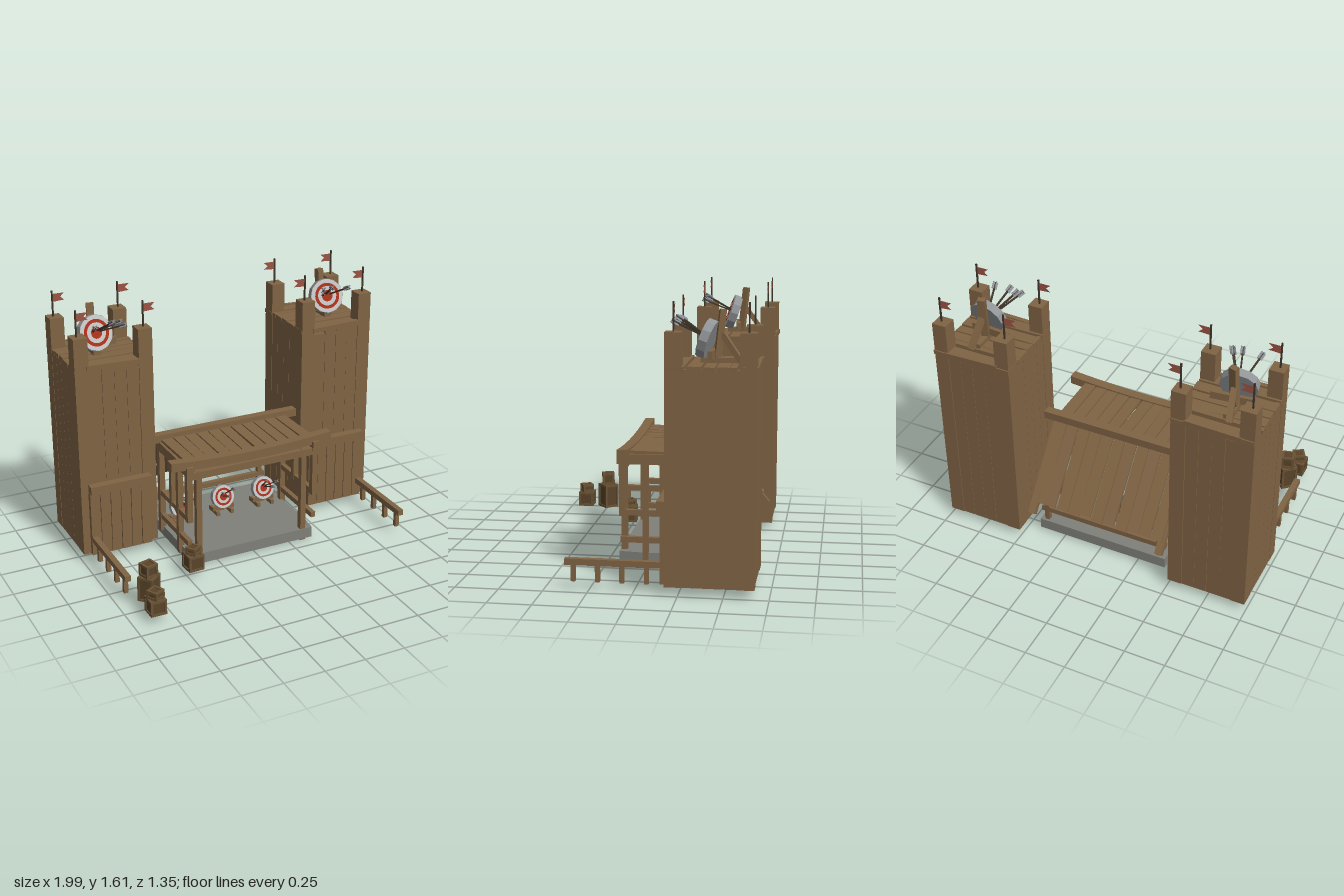
import * as THREE from 'three';

const mat = (name, color, extra = {}) => {
  const m = new THREE.MeshStandardMaterial({ color, flatShading: true, ...extra });
  m.name = name;
  return m;
};
const wood = mat('wood', 0x806444);
const crateWood = mat('crateWood', 0x6b5335);
const cratePanel = mat('cratePanel', 0x594429);
const stone = mat('stone', 0x80807b);
const white = mat('targetWhite', 0xc4c4c2);
const grey = mat('targetGrey', 0x929598);
const red = mat('targetRed', 0xa8301c);
const cloth = mat('flagCloth', 0x9c5444, { side: THREE.DoubleSide });
const dark = mat('arrowShaft', 0x40362a);
const feather = mat('feather', 0x8d9094, { side: THREE.DoubleSide });

let seed = 7;
const jitter = (a) => {
  seed = (seed * 16807) % 2147483647;
  return (seed / 2147483647 - 0.5) * 2 * a;
};

function add(parent, name, geo, material) {
  const m = new THREE.Mesh(geo, material);
  m.name = name;
  parent.add(m);
  return m;
}
function group(parent, name) {
  const g = new THREE.Group();
  g.name = name;
  parent.add(g);
  return g;
}
function box(parent, name, material, w, h, d, x, y, z, rx = 0, ry = 0, rz = 0) {
  const m = add(parent, name, new THREE.BoxGeometry(w, h, d), material);
  m.position.set(x, y, z);
  m.rotation.set(rx, ry, rz);
  return m;
}
// Square bar running from point a to point b
function beam(parent, name, material, a, b, w, h) {
  const p = new THREE.Vector3(...a), q = new THREE.Vector3(...b);
  const m = add(parent, name, new THREE.BoxGeometry(w, h, p.distanceTo(q)), material);
  m.position.copy(p).add(q).multiplyScalar(0.5);
  m.lookAt(q);
  return m;
}

// Arrow stuck at tip, with crossed feathers at the tail
function arrow(parent, tip, tail) {
  const g = group(parent, 'arrow');
  const p = new THREE.Vector3(...tip), q = new THREE.Vector3(...tail);
  const len = p.distanceTo(q);
  g.position.copy(p);
  g.lookAt(q);
  box(g, 'shaft', dark, 0.009, 0.009, len, 0, 0, len / 2);
  for (const r of [0.785, -0.785])
    box(g, 'fletching', feather, 0.032, 0.004, 0.045, 0, 0, len - 0.02, 0, 0, r);
}

// Round painted target; s mirrors the arrow spread
function target(parent, s, tails) {
  const g = group(parent, 'target');
  add(g, 'targetBody', new THREE.CylinderGeometry(0.11, 0.11, 0.05, 12).rotateX(Math.PI / 2), grey);
  const face = (name, a, b, m, z) => {
    const geo = a ? new THREE.RingGeometry(a, b, 24) : new THREE.CircleGeometry(b, 24);
    add(g, name, geo, m).position.z = z;
  };
  face('whiteFace', 0, 0.106, white, 0.0265);
  face('redRing', 0.062, 0.082, red, 0.029);
  face('redCentre', 0, 0.036, red, 0.029);
  for (const [x, y, z] of tails) arrow(g, [s * x * 0.2, y * 0.2, 0.015], [s * x, y, z]);
  return g;
}

// Corner post pennant
function flag(parent, s, x, z) {
  const g = group(parent, 'flag');
  g.position.set(x, 1.44, z);
  box(g, 'flagPole', dark, 0.009, 0.165, 0.009, 0, 0.083, 0);
  const pts = [[0, 0.095], [0.075, 0.1], [0.05, 0.122], [0.078, 0.145], [0, 0.145]];
  const shape = new THREE.Shape(pts.map(([u, v]) => new THREE.Vector2(u * s, v)));
  add(g, 'pennant', new THREE.ShapeGeometry(shape), cloth);
}

function tower(root, s) {
  const t = group(root, s > 0 ? 'leftTower' : 'rightTower');
  const X = (x) => s * x;
  // Corner posts and flags
  for (const x of [0.547, 0.948]) for (const z of [-0.221, -0.625]) {
    box(t, 'cornerPost', wood, 0.088, 1.395, 0.09, X(x), 0.747, z);
    flag(t, -s, X(x + (x > 0.7 ? 0.007 : -0.007)), z);
  }
  // Plank walls on four sides
  for (let i = 0; i < 4; i++) {
    const x = 0.631 + i * 0.078, z = -0.306 - i * 0.078;
    for (const wz of [-0.192, -0.654]) {
      const h = 1.185 + jitter(0.012);
      box(t, 'wallPlank', wood, 0.0765, h, 0.025, X(x), 0.05 + h / 2, wz, 0, 0, jitter(0.002));
    }
    for (const wx of [0.517, 0.978]) {
      const h = 1.2 + jitter(0.012);
      box(t, 'wallPlank', wood, 0.025, h, 0.0765, X(wx), 0.05 + h / 2, z, jitter(0.002));
    }
  }
  // Lower front boarding capped by a beam
  for (let i = 0; i < 6; i++)
    box(t, 'lowerPlank', wood, 0.062, 0.42, 0.03, X(0.585 + i * 0.066), 0.26, -0.16, 0, 0, jitter(0.006));
  box(t, 'frontBeam', wood, 0.395, 0.055, 0.055, X(0.747), 0.488, -0.153);
  // Platform planks and edge trim
  for (const [z, d] of [[-0.635, 0.085], [-0.545, 0.034], [-0.49, 0.07], [-0.415, 0.06], [-0.335, 0.075], [-0.23, 0.1]])
    box(t, 'platformPlank', wood, 0.49 + jitter(0.005), 0.025, d, X(0.748), 1.25, z, jitter(0.02), 0, jitter(0.012));
  box(t, 'platformTrim', wood, 0.34, 0.03, 0.03, X(0.75), 1.255, -0.185, 0, 0, s * 0.03);
  box(t, 'platformTrim', wood, 0.34, 0.03, 0.02, X(0.75), 1.255, -0.668, 0, 0, -s * 0.03);
  box(t, 'floor', wood, 0.44, 0.02, 0.44, X(0.748), 0.07, -0.42);
  // Target with its leaning stand
  const c = 0.785;
  const tg = target(t, s, [[0.085, 0.04, 0.2], [-0.03, 0.05, 0.21], [-0.085, 0.045, 0.2], [-0.1, 0.02, 0.22]]);
  tg.position.set(X(c), 1.39, -0.385);
  tg.rotation.set(-0.33, -s * 0.14, 0, 'YXZ');
  beam(t, 'standPost', wood, [X(c), 1.26, -0.438], [X(c - 0.008), 1.55, -0.468], 0.045, 0.035);
  beam(t, 'standBrace', wood, [X(c), 1.42, -0.465], [X(c + 0.02), 1.265, -0.575], 0.035, 0.03);
  box(t, 'standCrossbar', wood, 0.25, 0.045, 0.025, X(0.76), 1.31, -0.42, 0, -s * 0.1);
  box(t, 'standFoot', wood, 0.05, 0.03, 0.2, X(c), 1.275, -0.45);
  // Low fence running forward
  box(t, 'fenceRail', wood, 0.036, 0.036, 0.53, X(0.927), 0.157, 0.122);
  for (let i = 0; i < 4; i++)
    box(t, 'fencePost', wood, 0.026, 0.1, 0.026, X(0.927), 0.095, 0.34 - i * 0.137);
}

function shelter(root) {
  const g = group(root, 'shelter');
  // Stone slab
  const slab = new THREE.Shape([[-0.43, -0.172], [0.405, -0.172], [0.42, -0.035], [0.42, 0.55], [-0.43, 0.55]]
    .map(([x, y]) => new THREE.Vector2(x, y)));
  const geo = new THREE.ExtrudeGeometry(slab, { depth: 0.068, bevelEnabled: false });
  geo.rotateX(-Math.PI / 2).scale(1, 1, 1).translate(0, 0.01, 0);
  geo.rotateY(0);
  // Outline is drawn with the back at +y, so turn it to face the front
  geo.scale(1, 1, 1);
  add(g, 'slab', geo, stone);
  // Front posts, caps and lintel
  for (const x of [-0.37, 0.342]) box(g, 'frontPost', wood, 0.036, 0.63, 0.036, x, 0.315, 0.15);
  box(g, 'lintel', wood, 0.84, 0.045, 0.05, 0.0, 0.605, 0.148);
  // Sagging front beam
  const fb = new THREE.BoxGeometry(1.075, 0.055, 0.06, 12, 1, 1);
  const p = fb.attributes.position;
  for (let i = 0; i < p.count; i++) p.setY(i, p.getY(i) - 0.025 * (1 - (p.getX(i) / 0.5375) ** 2));
  fb.computeVertexNormals();
  add(g, 'frontRoofBeam', fb, wood).position.set(-0.007, 0.685, 0.133);
  box(g, 'ridgeBeam', wood, 1.01, 0.05, 0.055, 0, 0.69, -0.267);
  // Side frames
  for (const s of [-1, 1]) {
    const x = s * 0.425 - 0.005;
    box(g, 'sidePost', wood, 0.036, 0.6, 0.034, x, 0.33, 0.012);
    box(g, 'sidePost', wood, 0.036, 0.34, 0.034, x, 0.475, -0.09);
    box(g, 'sidePost', wood, 0.036, 0.6, 0.036, x, 0.35, -0.27);
    box(g, 'sideEndPost', wood, 0.036, 0.36, 0.036, x, 0.48, 0.15);
    box(g, 'sideRail', wood, 0.03, 0.034, 0.46, x, 0.32, -0.07);
    box(g, 'sideRail', wood, 0.03, 0.034, 0.46, x, 0.157, -0.07);
    box(g, 'roofSideBeam', wood, 0.044, 0.06, 0.46, x, 0.64, -0.05);
    beam(g, 'rearRafter', wood, [x, 0.66, -0.27], [x, 0.2, -0.645], 0.045, 0.035);
    box(g, 'rearPost', wood, 0.03, 0.16, 0.03, s * 0.38, 0.15, -0.52);
  }
  box(g, 'rearRail', wood, 0.84, 0.034, 0.03, -0.005, 0.16, -0.52);
  // Roof planks, flat at the front and steep at the rear
  for (let i = 0; i < 11; i++) {
    const x = -0.4 + i * 0.079;
    const sag = 0.02 * (1 - (x / 0.54) ** 2);
    const f = beam(g, 'roofPlank', wood, [x, 0.675, -0.27], [x + jitter(0.004), 0.69 - sag, 0.115], 0.072, 0.018);
    f.rotateZ(jitter(0.04));
    beam(g, 'rearRoofPlank', wood, [x, 0.685, -0.265], [x + jitter(0.005), 0.265 + jitter(0.012), -0.61 + jitter(0.008)], 0.072, 0.018);
  }
  // Three small targets on stands
  [-0.3, -0.01, 0.28].forEach((x, i) => {
    const t = target(g, i === 1 ? -1 : 1, [[0.07, 0.07, 0.2], [0.02, 0.03, 0.21], [-0.04, 0.09, 0.2]]);
    t.scale.setScalar(0.7);
    t.position.set(x, 0.188, -0.27);
    t.rotation.x = -0.3;
    box(g, 'standCrossbar', wood, 0.15, 0.026, 0.02, x, 0.115, -0.265);
    for (const d of [-0.05, 0.05]) box(g, 'standFoot', wood, 0.022, 0.03, 0.12, x + d, 0.09, -0.28);
    beam(g, 'standPost', wood, [x, 0.08, -0.29], [x, 0.25, -0.32], 0.03, 0.022);
    beam(g, 'standBrace', wood, [x, 0.2, -0.315], [x, 0.085, -0.385], 0.024, 0.02);
  });
}

// Framed crate
function crate(root, w, h, x, y, z, ry) {
  const g = group(root, 'crate');
  g.position.set(x, y + h / 2, z);
  g.rotation.y = ry;
  const b = 0.014, k = w / 2 - b / 2, m = h / 2 - b / 2;
  box(g, 'cratePanels', cratePanel, w - 0.012, h - 0.012, w - 0.012, 0, 0, 0);
  for (const u of [-1, 1]) for (const v of [-1, 1]) {
    box(g, 'crateEdge', crateWood, b, h, b, u * k, 0, v * k);
    box(g, 'crateEdge', crateWood, w - 2 * b, b, b, 0, u * m, v * k);
    box(g, 'crateEdge', crateWood, b, b, w - 2 * b, u * k, v * m, 0);
  }
}

export function createModel() {
  const root = new THREE.Group();
  root.name = 'archeryRange';
  tower(root, 1);
  tower(root, -1);
  shelter(root);
  // Crate stacks
  crate(root, 0.1, 0.1, -0.455, 0.045, 0.255, 0.05);
  crate(root, 0.072, 0.045, -0.455, 0.145, 0.255, 0.6);
  crate(root, 0.1, 0.155, -0.83, 0.045, 0.465, 0.7);
  crate(root, 0.08, 0.078, -0.83, 0.2, 0.465, 0.25);
  crate(root, 0.098, 0.095, -0.853, 0.045, 0.617, 0);
  crate(root, 0.075, 0.05, -0.853, 0.14, 0.617, 0.5);
  return root;
}
